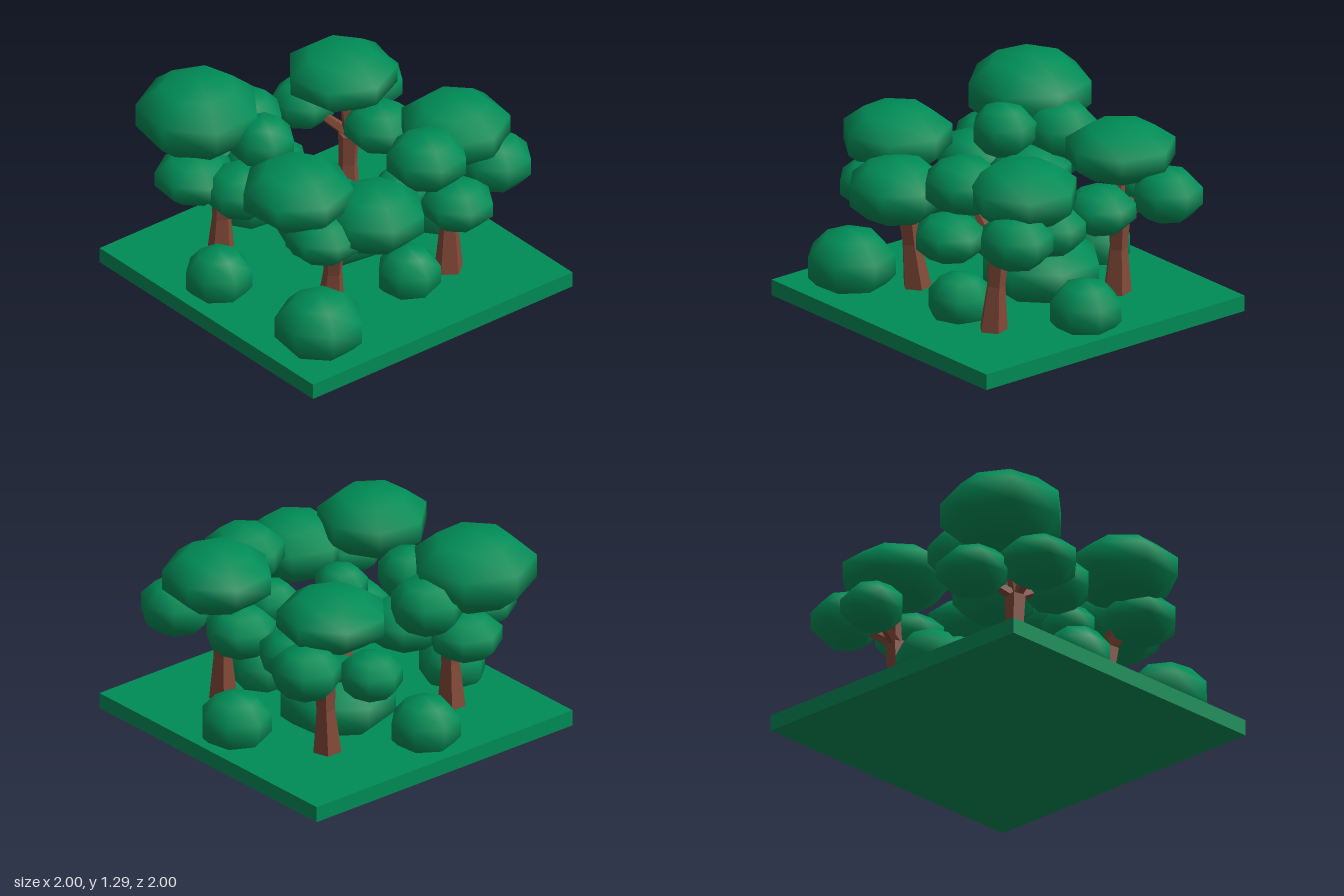
import * as THREE from 'three';

const leafGreen = new THREE.MeshStandardMaterial({ color: 0x008d57 });
leafGreen.name = 'leaf green';
const barkBrown = new THREE.MeshStandardMaterial({ color: 0x834a38, flatShading: true });
barkBrown.name = 'bark brown';

// Seven-sided, smooth-shaded clump with a steep waist band
function clump(name, x, y, z, radius, halfHeight, turn) {
  const geo = new THREE.SphereGeometry(1, 7, 5);
  geo.rotateY(turn);
  geo.scale(radius * 1.07, halfHeight, radius * 1.07);
  const mesh = new THREE.Mesh(geo, leafGreen);
  mesh.position.set(x, y, z);
  mesh.name = name;
  return mesh;
}

// Tapered five-sided limb between two points
function limb(name, a, b, r0, r1) {
  const dir = b.clone().sub(a);
  const mesh = new THREE.Mesh(new THREE.CylinderGeometry(r1, r0, dir.length(), 5), barkBrown);
  mesh.quaternion.setFromUnitVectors(new THREE.Vector3(0, 1, 0), dir.normalize());
  mesh.position.copy(a).lerp(b, 0.5);
  mesh.name = name;
  return mesh;
}

// Tree with a flared trunk and one branch per clump; the first clump is the crown
function tree(name, [footX, footZ], [topX, topZ], crownTurn, clumps) {
  const group = new THREE.Group();
  group.name = name;
  const foot = new THREE.Vector3(footX, 0.09, footZ);
  const top = new THREE.Vector3(topX, 0.58, topZ);
  const knee = foot.clone().lerp(top, 0.6);
  group.add(limb('trunkBase', foot, knee, 0.09, 0.058));
  group.add(limb('trunkTop', knee, top, 0.058, 0.068));
  clumps.forEach(([x, y, z, radius, halfHeight], i) => {
    group.add(limb('branch', top, new THREE.Vector3(x, y, z), 0.038, 0.022));
    group.add(clump(i ? 'foliage' : 'crown', x, y, z, radius, halfHeight, i ? 0.35 : crownTurn));
  });
  return group;
}

// Bush half sunk into the ground slab
function bush(x, z, radius, top, turn) {
  return clump('bush', x, top / 2 + 0.005, z, radius, top / 2 - 0.005, turn);
}

export function createModel() {
  const model = new THREE.Group();
  model.name = 'grove';

  // Square slab of ground
  const ground = new THREE.Mesh(new THREE.BoxGeometry(2, 0.1, 2), leafGreen);
  ground.position.y = 0.05;
  ground.name = 'ground';
  model.add(ground);

  // Clumps are [x, y, z, radius, half height]
  model.add(tree('backRightTree', [-0.5, -0.47], [-0.5, -0.46], 0.27, [
    [-0.55, 1.05, -0.62, 0.37, 0.24],
    [-0.35, 0.94, -0.26, 0.19, 0.17],
    [-0.21, 0.9, -0.59, 0.22, 0.18],
    [-0.24, 0.69, -0.36, 0.25, 0.16],
    [-0.57, 0.72, -0.2, 0.22, 0.16],
    [-0.7, 0.74, -0.47, 0.24, 0.15],
    [-0.4, 0.69, -0.72, 0.22, 0.15],
  ]));
  model.add(tree('backLeftTree', [0.46, -0.46], [0.48, -0.46], 0.67, [
    [0.45, 0.99, -0.5, 0.33, 0.18],
    [0.75, 0.77, -0.61, 0.21, 0.17],
    [0.55, 0.7, -0.26, 0.21, 0.15],
    [0.38, 0.69, -0.77, 0.19, 0.15],
  ]));
  model.add(tree('frontRightTree', [-0.37, 0.4], [-0.39, 0.46], 0.53, [
    [-0.6, 0.985, 0.365, 0.33, 0.2],
    [-0.24, 0.82, 0.66, 0.3, 0.2],
    [-0.55, 0.75, 0.56, 0.23, 0.15],
    [-0.26, 0.69, 0.26, 0.16, 0.14],
  ]));
  model.add(tree('frontLeftTree', [0.46, 0.5], [0.48, 0.48], 0.76, [
    [0.6, 0.98, 0.38, 0.33, 0.2],
    [0.25, 0.97, 0.55, 0.24, 0.175],
    [0.76, 0.77, 0.57, 0.22, 0.175],
    [0.34, 0.71, 0.73, 0.215, 0.15],
    [0.2, 0.69, 0.37, 0.17, 0.14],
    [0.6, 0.7, 0.17, 0.21, 0.16],
  ]));

  model.add(
    bush(-0.67, 0.66, 0.265, 0.44, 0.3),
    bush(0.13, -0.16, 0.35, 0.46, 0.08),
    bush(0.15, 0.5, 0.19, 0.37, 0.6),
    bush(0.76, 0.03, 0.215, 0.39, 0.2),
    bush(-0.07, -0.74, 0.21, 0.39, 0.1),
    bush(-0.75, -0.19, 0.2, 0.38, 0.5),
  );

  return model;
}
